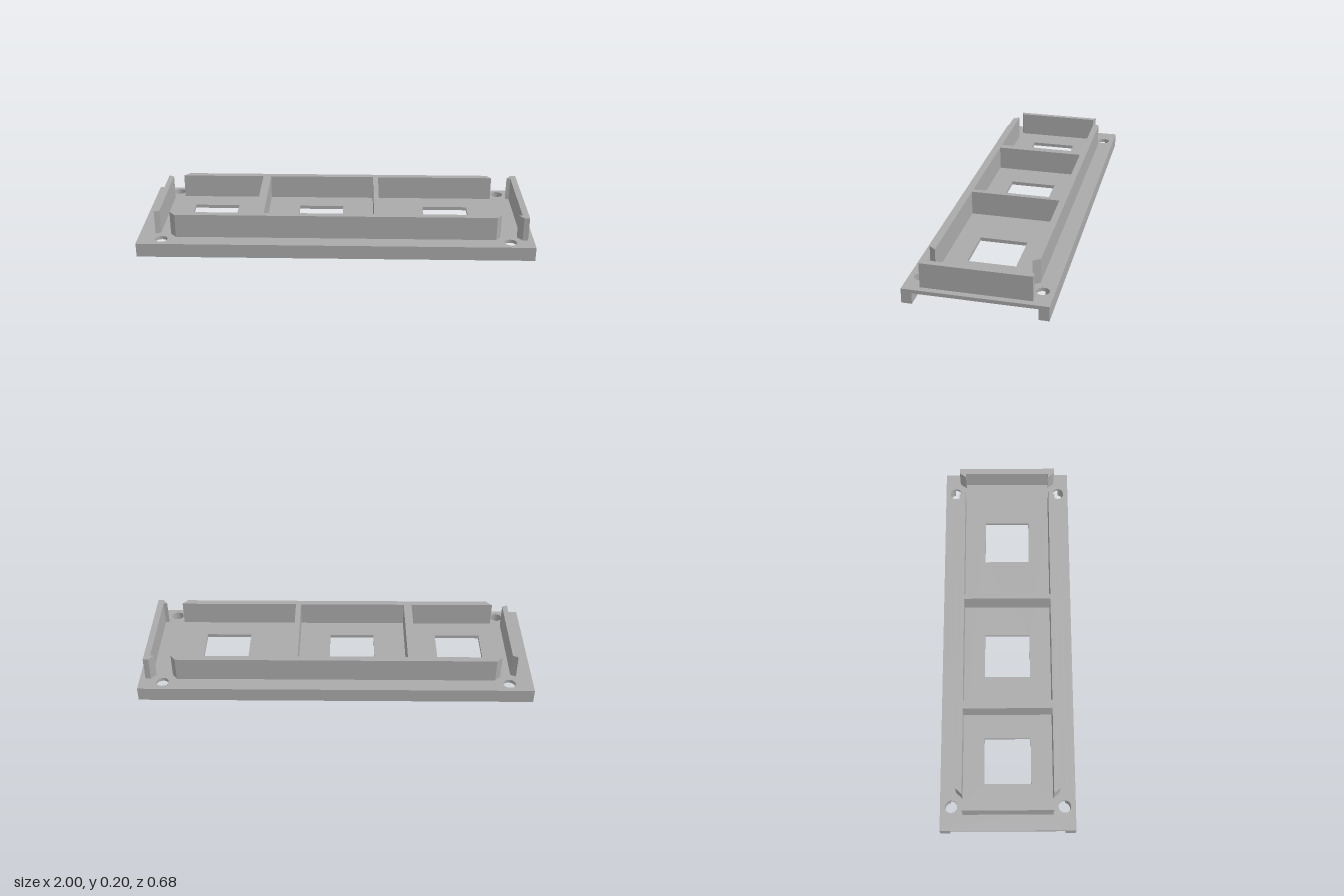
import * as THREE from 'three';

const FLOOR = 0.055, DECK = 0.073, TOP = 0.197;
const HOLE_X = 0.88, HOLE_Z = 0.285, HOLE_R = 0.031;

export function createModel() {
  const model = new THREE.Group();
  const grey = new THREE.MeshStandardMaterial({ color: 0xaaaaaa });
  grey.name = 'plainGrey';

  // Extrude a plan outline (x, z) between two heights
  const addPlan = (name, shape, y0, y1) => {
    const g = new THREE.ExtrudeGeometry(shape, { depth: y1 - y0, bevelEnabled: false, curveSegments: 24 });
    g.rotateX(Math.PI / 2).translate(0, y1, 0);
    const mesh = new THREE.Mesh(g, grey);
    mesh.name = name;
    model.add(mesh);
  };
  const outline = pts => new THREE.Shape(pts.map(p => new THREE.Vector2(p[0], p[1])));
  const rect = (x0, x1, z0, z1) => outline([[x0, z0], [x1, z0], [x1, z1], [x0, z1]]);

  // Deck with three square windows and four corner screw holes
  const deck = rect(-1, 1, -0.34, 0.34);
  for (const [x0, x1] of [[-0.765, -0.53], [-0.2, 0.033], [0.46, 0.695]]) {
    deck.holes.push(rect(x0, x1, -0.118, 0.118));
  }
  for (const sx of [-1, 1]) for (const sz of [-1, 1]) {
    const hole = new THREE.Path();
    hole.absarc(sx * HOLE_X, sz * HOLE_Z, HOLE_R, 0, Math.PI * 2, true);
    deck.holes.push(hole);
  }
  addPlan('deck', deck, FLOOR, DECK);

  // Rails under the long edges, notched where the screw holes pass
  const a0 = Math.asin((0.29 - HOLE_Z) / HOLE_R);
  for (const s of [1, -1]) {
    const pts = [[-1, 0.34 * s], [-1, 0.29 * s]];
    for (const cx of [-HOLE_X, HOLE_X]) {
      for (let i = 0; i <= 16; i++) {
        const a = Math.PI - a0 - (Math.PI - 2 * a0) * i / 16;
        pts.push([cx + HOLE_R * Math.cos(a), s * (HOLE_Z + HOLE_R * Math.sin(a))]);
      }
    }
    pts.push([1, 0.29 * s], [1, 0.34 * s]);
    addPlan(s > 0 ? 'frontRail' : 'backRail', outline(pts), 0, FLOOR);

    // Long upright wall with mitred ends
    addPlan(s > 0 ? 'frontWall' : 'backWall', outline([
      [-0.84, 0.227 * s], [0.835, 0.227 * s], [0.81, 0.26 * s], [-0.81, 0.26 * s],
    ]), DECK, TOP);
  }

  // Dividers above the deck, with matching ribs below
  for (const [x0, x1] of [[-0.405, -0.363], [0.193, 0.22]]) {
    addPlan('divider', rect(x0, x1, -0.228, 0.228), DECK, TOP);
    addPlan('underRib', rect(x0, x1, -0.29, 0.29), 0, FLOOR);
  }

  // End walls: a tapered one on the right, a hooked one on the left
  addPlan('rightEndWall', outline([
    [-0.92, -0.226], [-0.893, -0.214], [-0.893, 0.214], [-0.92, 0.226],
  ]), DECK, TOP);
  addPlan('leftEndWall', outline([
    [0.97, -0.26], [0.97, 0.26], [0.942, 0.26], [0.918, 0.226], [0.938, 0.226],
    [0.938, -0.226], [0.918, -0.226], [0.942, -0.26],
  ]), DECK, TOP);

  return model;
}
